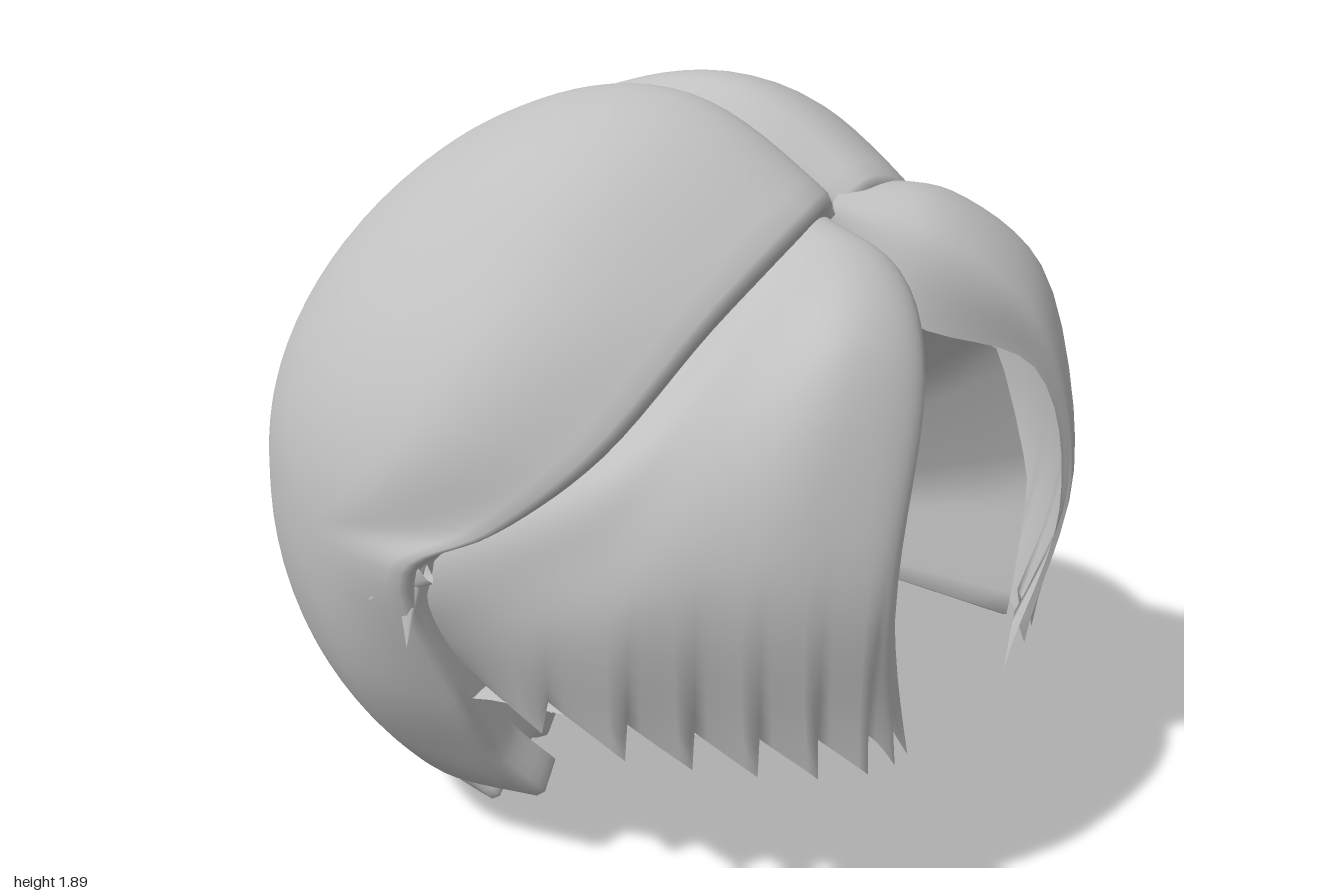
import * as THREE from 'three';
import { mergeVertices } from 'three/addons/utils/BufferGeometryUtils.js';

const V = (p) => new THREE.Vector3(...p);
const smooth = THREE.MathUtils.smoothstep;
const hair = new THREE.MeshStandardMaterial({ color: 0xc0c0c0, side: THREE.DoubleSide });
hair.name = 'hair grey';
const CENTRE = V([0, 0.93, 0]);

// Smooth surface from a rule f(u, v) -> Vector3
function surface(name, f, nu, nv) {
  const pos = [], idx = [];
  for (let i = 0; i <= nu; i++)
    for (let j = 0; j <= nv; j++) pos.push(...f(i / nu, j / nv).toArray());
  for (let i = 0; i < nu; i++)
    for (let j = 0; j < nv; j++) {
      const a = i * (nv + 1) + j, b = a + nv + 1;
      idx.push(a, a + 1, b, b, a + 1, b + 1);
    }
  let g = new THREE.BufferGeometry();
  g.setAttribute('position', new THREE.Float32BufferAttribute(pos, 3));
  g.setIndex(idx);
  g = mergeVertices(g, 1e-4);
  g.computeVertexNormals();
  const m = new THREE.Mesh(g, hair);
  m.name = name;
  return m;
}

// Closed loop from its +z half, which starts and ends on z = 0
function mirroredLoop(half, type) {
  const other = half.slice(1, -1).reverse().map(([x, y, z]) => [x, y, -z]);
  return new THREE.CatmullRomCurve3([...half, ...other].map(V), true, type, 0.2);
}

// Edge of the crown: parting, temple, then the pointed locks down to the nape
const rim = mirroredLoop([
  [0.52, 1.62, 0], [0.56, 1.67, 0.1], [0.58, 1.65, 0.23], [0.52, 1.48, 0.52], [0.38, 1.2, 0.79],
  [0.2, 1.03, 0.92], [0.02, 0.92, 1], [0.04, 0.55, 0.86], [0.05, 0.36, 0.75], [0.1, 0.22, 0.64],
  [-0.1, 0.29, 0.68], [-0.15, 0.22, 0.64], [-0.09, 0.12, 0.59], [-0.24, 0.13, 0.52],
  [-0.2, 0.05, 0.38], [-0.36, 0.06, 0.25], [-0.32, 0.005, 0.1], [-0.38, 0.015, 0]], 'centripetal');

// Edge of the lining: face opening, under the bangs, then the nape
const liningRim = mirroredLoop([
  [0.7, 1.37, 0], [0.84, 1.28, 0.23], [0.88, 0.9, 0.39], [0.87, 0.54, 0.34], [0.73, 0.51, 0.51],
  [0.53, 0.51, 0.61], [0.31, 0.53, 0.72], [0.04, 0.55, 0.82], [0.04, 0.3, 0.68],
  [-0.13, 0.18, 0.57], [-0.28, 0.07, 0.32], [-0.37, 0.03, 0]], 'catmullrom');

// Rounded crown: arcs from the back pole to the rim, with a parting groove and a rolled-in lip
function crownPoint(u, v) {
  const edge = rim.getPoint(u % 1).sub(CENTRE);
  const t = Math.min(v / 0.92, 1);
  const dir = edge.clone().normalize();
  const pole = V([-1, 0, 0]);
  const angle = pole.angleTo(dir);
  const d = pole.multiplyScalar(Math.sin((1 - t) * angle))
    .addScaledVector(dir, Math.sin(t * angle)).divideScalar(Math.sin(angle));
  let r = 1 - 0.05 * smooth(d.y, 0.1, 0.85) + 0.06 * Math.max(0, -d.x) * Math.max(0, -d.y);
  r += 0.04 * smooth(d.x, -0.4, 0.15) * smooth(d.y, 0.6, 0.95);
  r -= 0.1 * smooth(d.x, -0.55, 0) * smooth(d.y, 0.5, 0.8) * Math.exp(-((Math.abs(d.z) / 0.08) ** 1.5));
  r = THREE.MathUtils.lerp(r, edge.length(), smooth(t, 0.78, 1));
  if (v > 0.92) r *= 1 - 0.1 * (v - 0.92) / 0.08;
  return d.multiplyScalar(r).add(CENTRE);
}

// Bang lofted through strands (each listed root to tip), with a jagged lower edge
function bang(name, strands, teeth) {
  const curves = strands.map((s) => new THREE.CatmullRomCurve3(s.map(V)));
  return surface(name, (u, v) => {
    const p = new THREE.CatmullRomCurve3(curves.map((c) => c.getPoint(v))).getPoint(u);
    const saw = (u * teeth) % 1;
    const w = v ** 8;
    p.y += 0.11 * saw * w;
    p.x += 0.03 * (1 - saw) * w;
    return p;
  }, teeth * 6, 24);
}

// Small pointed lock, flattened against the head
function tuft(base, tip, radius) {
  const a = V(base), b = V(tip), dir = b.clone().sub(a);
  const g = new THREE.ConeGeometry(radius, dir.length(), 8, 3, true);
  g.scale(1, 1, 0.35);
  const out = a.clone().sub(CENTRE);
  const y = dir.clone().normalize();
  const x = new THREE.Vector3().crossVectors(y, out).normalize();
  const z = new THREE.Vector3().crossVectors(x, y);
  g.applyMatrix4(new THREE.Matrix4().makeBasis(x, y, z).setPosition(a.add(b).multiplyScalar(0.5)));
  const m = new THREE.Mesh(g, hair);
  m.name = 'tuft';
  return m;
}

export function createModel() {
  const group = new THREE.Group();
  group.name = 'hair';
  group.add(surface('crown', crownPoint, 204, 44));

  // Inner lining: cone from the open edge to a point inside the head
  const apex = V([0.03, 0.75, -0.05]);
  group.add(surface('lining', (u, v) => liningRim.getPoint(u % 1).lerp(apex, v), 88, 8));

  group.add(bang('leftBang', [
    [[0.49, 1.57, -0.01], [0.71, 1.38, 0.01], [0.87, 1.28, 0.25], [0.91, 0.9, 0.41], [0.89, 0.45, 0.32]],
    [[0.5, 1.61, 0.03], [0.73, 1.53, 0.1], [0.9, 1.35, 0.3], [0.94, 0.95, 0.48], [0.88, 0.45, 0.42]],
    [[0.5, 1.62, 0.12], [0.66, 1.57, 0.22], [0.79, 1.4, 0.46], [0.8, 0.95, 0.61], [0.74, 0.43, 0.52]],
    [[0.47, 1.53, 0.3], [0.55, 1.42, 0.48], [0.6, 1.2, 0.64], [0.6, 0.9, 0.71], [0.53, 0.43, 0.62]],
    [[0.35, 1.22, 0.65], [0.4, 1.15, 0.72], [0.4, 1, 0.77], [0.37, 0.8, 0.8], [0.31, 0.46, 0.74]],
    [[0, 1, 0.88], [0.02, 0.92, 0.91], [0, 0.82, 0.92], [-0.03, 0.7, 0.89], [-0.06, 0.55, 0.82]],
  ], 8));

  group.add(bang('rightBang', [
    [[0.49, 1.57, 0.01], [0.71, 1.38, 0], [0.94, 1.25, -0.23], [0.98, 0.85, -0.36], [0.88, 0.43, -0.25]],
    [[0.5, 1.63, 0], [0.75, 1.56, -0.07], [0.95, 1.36, -0.24], [1, 0.95, -0.39], [0.9, 0.5, -0.37]],
    [[0.5, 1.67, -0.1], [0.7, 1.64, -0.2], [0.86, 1.45, -0.43], [0.91, 0.98, -0.52], [0.82, 0.46, -0.48]],
    [[0.5, 1.65, -0.24], [0.62, 1.59, -0.43], [0.71, 1.37, -0.62], [0.73, 0.95, -0.68], [0.65, 0.43, -0.6]],
    [[0.44, 1.42, -0.5], [0.47, 1.35, -0.68], [0.49, 1.15, -0.76], [0.46, 0.85, -0.78], [0.4, 0.46, -0.72]],
    [[0, 1, -0.88], [0.02, 0.92, -0.91], [0, 0.82, -0.92], [-0.03, 0.7, -0.89], [-0.06, 0.55, -0.82]],
  ], 8));

  // Pointed ends at the temples
  for (const s of [1, -1]) {
    group.add(tuft([-0.03, 0.99, 0.93 * s], [-0.01, 0.73, 0.98 * s], 0.07));
    group.add(tuft([0.02, 0.93, 0.95 * s], [-0.12, 0.82, 0.98 * s], 0.05));
  }
  return group;
}
